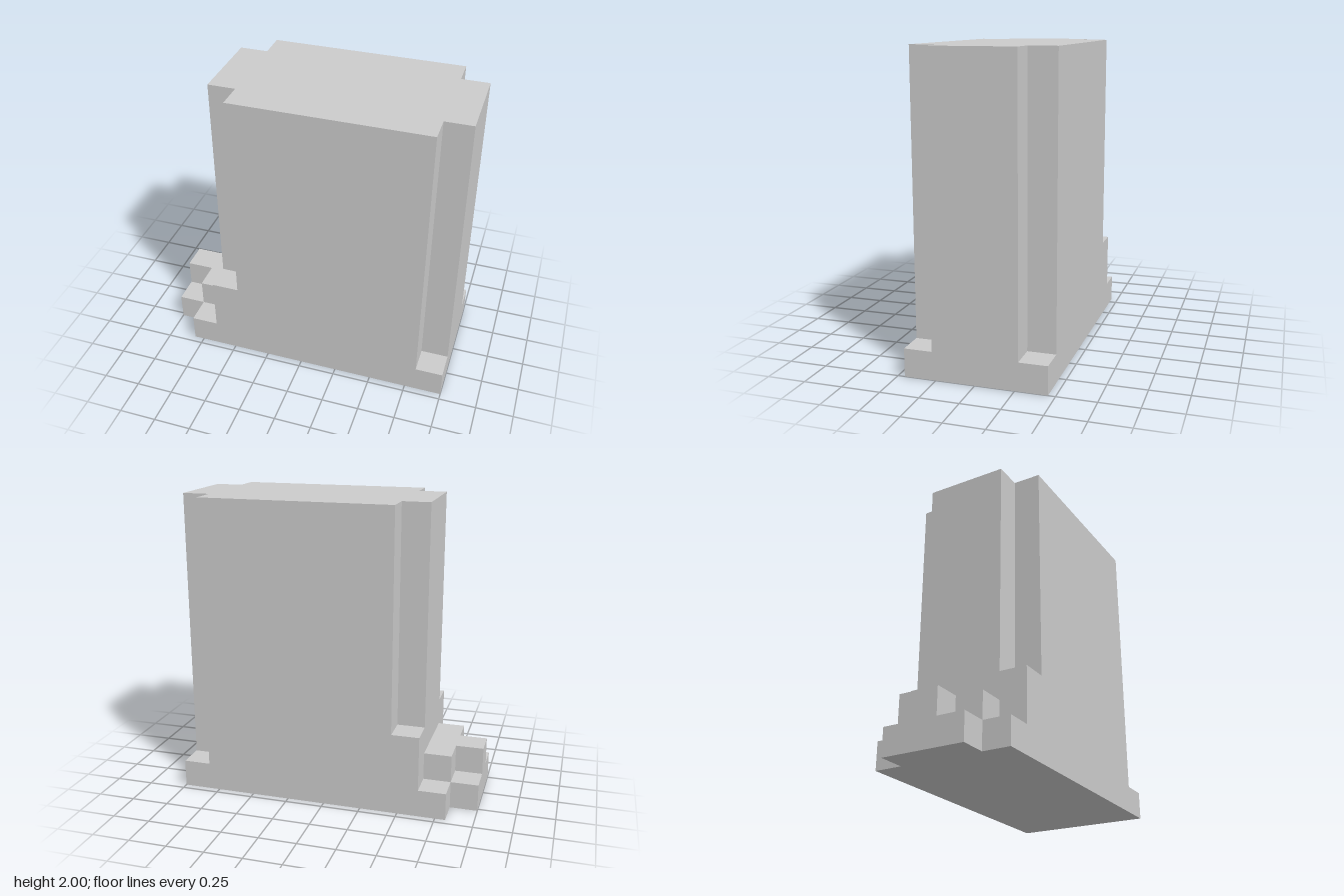
import * as THREE from 'three';

const U = 2 / 11; // one block

// Plan outline symmetric about z = 0; runs are [xStart, xEnd, halfDepth] in blocks
function layer(name, y0, y1, runs) {
  const half = runs.flatMap(([a, b, d]) => [[a, d], [b, d]]);
  const outline = [...half, ...half.map(([x, d]) => [x, -d]).reverse()];
  const shape = new THREE.Shape(outline.map(([x, d]) => new THREE.Vector2((x - 5.5) * U, d * U)));
  const geometry = new THREE.ExtrudeGeometry(shape, { depth: (y1 - y0) * U, bevelEnabled: false });
  geometry.rotateX(-Math.PI / 2);
  const mesh = new THREE.Mesh(
    geometry,
    new THREE.MeshStandardMaterial({ color: 0xcccccc, flatShading: true })
  );
  mesh.name = name;
  mesh.position.y = y0 * U;
  return mesh;
}

export function createModel() {
  const group = new THREE.Group();
  group.name = 'blockTower';
  group.add(
    // Full-width plinth with a narrower toe
    layer('base', 0, 1, [[0, 1, 1.5], [1, 11, 2.5]]),
    // Raised stepped toe and start of the notched body
    layer('toeStep', 1, 2, [[0, 1, 0.5], [1, 2, 1.5], [2, 10, 2.5], [10, 11, 1.5]]),
    // Body with corner notches on one end only
    layer('lowerBody', 2, 3, [[2, 10, 2.5], [10, 11, 1.5]]),
    // Tall body with all four corners notched
    layer('upperBody', 3, 11, [[2, 3, 1.5], [3, 10, 2.5], [10, 11, 1.5]])
  );
  return group;
}
